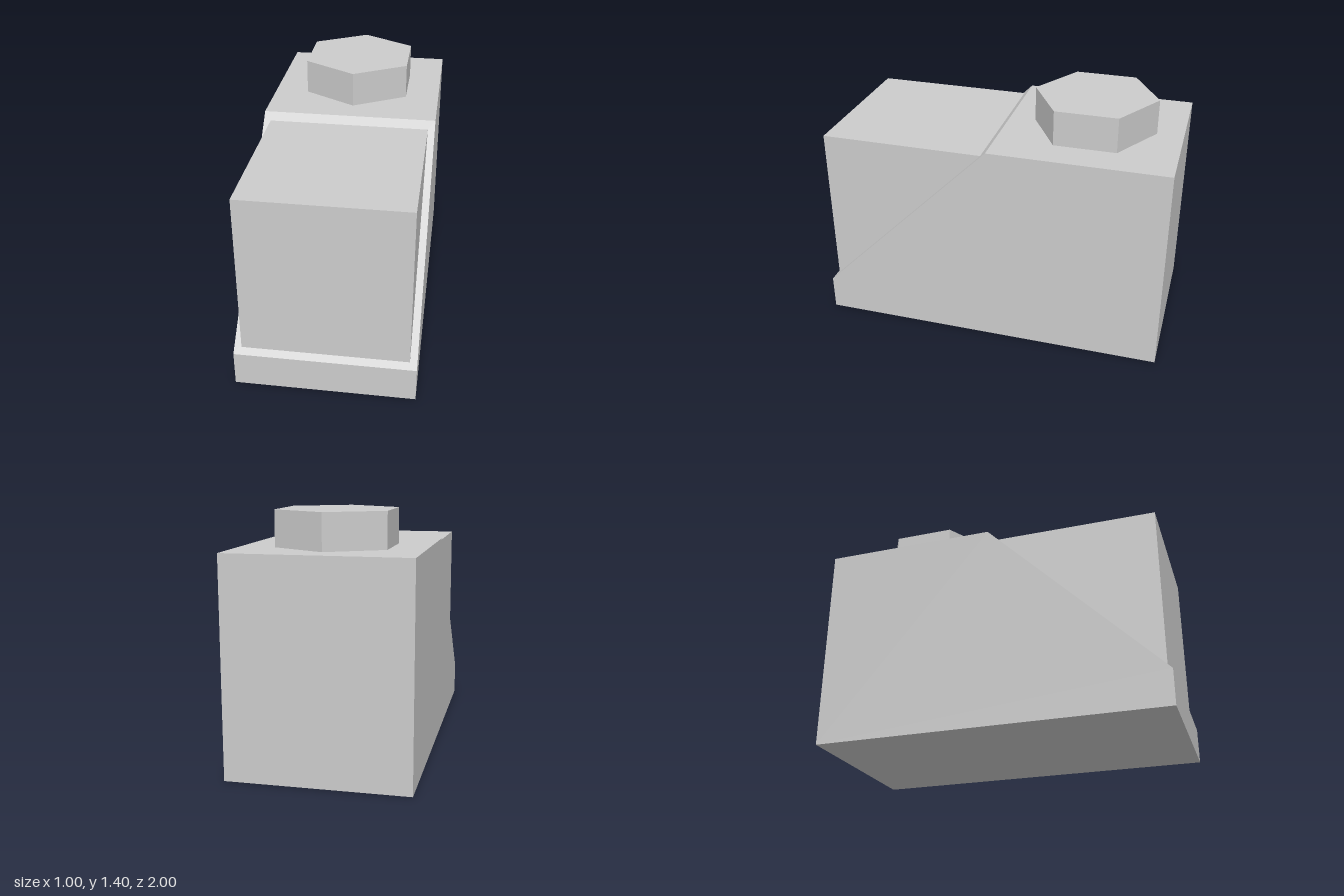
import * as THREE from 'three';

const material = new THREE.MeshStandardMaterial({ color: 0xcccccc, flatShading: true });

// Extrudes a side profile of [z, y] points across x, centred on x = 0
function sideExtrude(name, profile, width) {
  const shape = new THREE.Shape(profile.map(([z, y]) => new THREE.Vector2(z, y)));
  const geometry = new THREE.ExtrudeGeometry(shape, { depth: width, bevelEnabled: false });
  geometry.translate(0, 0, -width / 2);
  geometry.rotateY(-Math.PI / 2);
  const mesh = new THREE.Mesh(geometry, material);
  mesh.name = name;
  return mesh;
}

export function createModel() {
  const model = new THREE.Group();
  model.name = 'slopedBlock';

  // Main body with a 45 degree front slope
  model.add(sideExtrude('body', [[-1, 0], [1, 0], [1, 0.2], [0, 1.2], [-1, 1.2]], 1));

  // Wedge resting on the slope, squaring it off with a narrow margin all round
  model.add(sideExtrude('frontWedge', [[0.97, 0.23], [0.97, 1.16], [0.04, 1.16]], 0.92));

  // Hexagonal stud on the flat top
  const stud = new THREE.Mesh(new THREE.CylinderGeometry(0.35, 0.35, 0.2, 6), material);
  stud.name = 'stud';
  stud.position.set(0, 1.3, -0.5);
  model.add(stud);

  return model;
}
